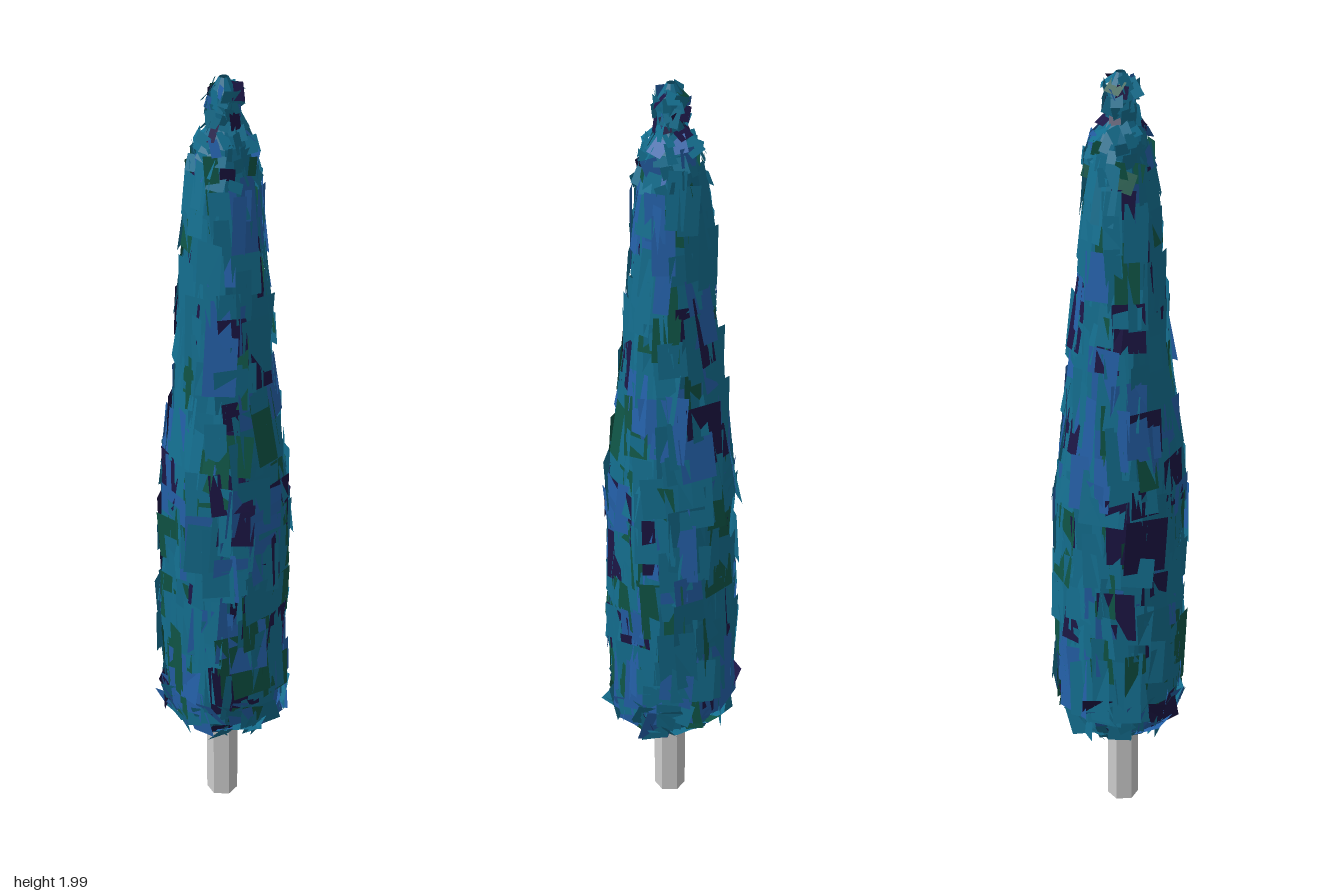
import * as THREE from 'three';
import { mergeGeometries } from 'three/addons/utils/BufferGeometryUtils.js';

// Crown outline as [radius, height], bottom to top
const PROFILE = [
  [0.03, 0.2], [0.135, 0.28], [0.153, 0.36], [0.152, 0.6], [0.148, 0.95], [0.122, 1.2],
  [0.102, 1.45], [0.085, 1.7], [0.066, 1.83], [0.036, 1.88], [0.034, 1.95], [0.012, 1.985],
];

function seeded(seed) {
  return () => {
    seed = (seed * 1664525 + 1013904223) % 4294967296;
    return seed / 4294967296;
  };
}

function outline(y) {
  let i = 0;
  while (i < PROFILE.length - 2 && y > PROFILE[i + 1][1]) i++;
  const [r0, y0] = PROFILE[i], [r1, y1] = PROFILE[i + 1];
  const slope = (r1 - r0) / (y1 - y0);
  return { r: r0 + (y - y0) * slope, slope };
}

const leafMaterial = (color) =>
  new THREE.MeshStandardMaterial({ color, flatShading: true, side: THREE.DoubleSide });

export function createModel() {
  const tree = new THREE.Group();
  tree.name = 'cypressTree';

  // Six-sided trunk
  const trunk = new THREE.Mesh(
    new THREE.CylinderGeometry(0.04, 0.04, 0.4, 6),
    new THREE.MeshStandardMaterial({ color: 0xcccccc, flatShading: true }),
  );
  trunk.name = 'trunk';
  trunk.position.set(0, 0.2, 0.008);
  tree.add(trunk);

  // Inner faceted crown that closes the gaps between the leaf cards
  const core = new THREE.Mesh(
    new THREE.LatheGeometry(PROFILE.map(([r, y]) => new THREE.Vector2(r * 0.93, y)), 10),
    leafMaterial(0x126a8c),
  );
  core.name = 'crownCore';
  tree.add(core);

  // Overlapping rectangular leaf cards, grouped by colour
  const palette = [
    { name: 'tealLeaves', color: 0x146f90, share: 0.62 },
    { name: 'blueLeaves', color: 0x2460a8, share: 0.2 },
    { name: 'greenLeaves', color: 0x0f5546, share: 0.1 },
    { name: 'violetLeaves', color: 0x1c1645, share: 0.08 },
  ];
  const cards = palette.map(() => []);
  const rand = seeded(71);
  const spread = (amount) => (rand() * 2 - 1) * amount;
  const dummy = new THREE.Object3D();
  dummy.rotation.order = 'YXZ';

  function addCard(y, angle, width, height, jitter, push) {
    const { r, slope } = outline(y);
    dummy.position.set(Math.sin(angle) * (r + push), y, Math.cos(angle) * (r + push));
    dummy.rotation.set(Math.atan(slope) + spread(jitter), angle + spread(jitter * 2), spread(jitter));
    dummy.updateMatrix();
    let pick = rand(), k = 0;
    while (k < palette.length - 1 && pick > palette[k].share) pick -= palette[k++].share;
    cards[k].push(new THREE.PlaneGeometry(width, height).applyMatrix4(dummy.matrix));
  }

  // Long cards on the tapering body
  const GOLDEN = Math.PI * (3 - Math.sqrt(5));
  const BODY = 480;
  for (let i = 0; i < BODY; i++) {
    const y = 0.38 + 1.38 * (1 - Math.sqrt(1 - 0.9 * (i / BODY))) / (1 - Math.sqrt(0.1));
    const size = outline(y).r;
    addCard(y, i * GOLDEN + spread(0.2), size * (0.35 + rand() * 0.4),
      0.07 + rand() * 0.13, 0.1, spread(0.007));
  }

  // Splayed cards around the lower skirt
  for (let i = 0; i < 110; i++) {
    const y = 0.235 + rand() * 0.12;
    addCard(y, i * GOLDEN, 0.04 + rand() * 0.05, 0.04 + rand() * 0.05, 0.32, spread(0.006));
  }

  // Small ruffled cards at the shoulder and tip
  for (let i = 0; i < 100; i++) {
    const y = 1.74 + 0.225 * (i / 100);
    addCard(y, i * GOLDEN, 0.02 + rand() * 0.025, 0.025 + rand() * 0.025, 0.4, spread(0.005));
  }

  palette.forEach(({ name, color }, k) => {
    const leaves = new THREE.Mesh(mergeGeometries(cards[k]), leafMaterial(color));
    leaves.name = name;
    tree.add(leaves);
  });
  return tree;
}
